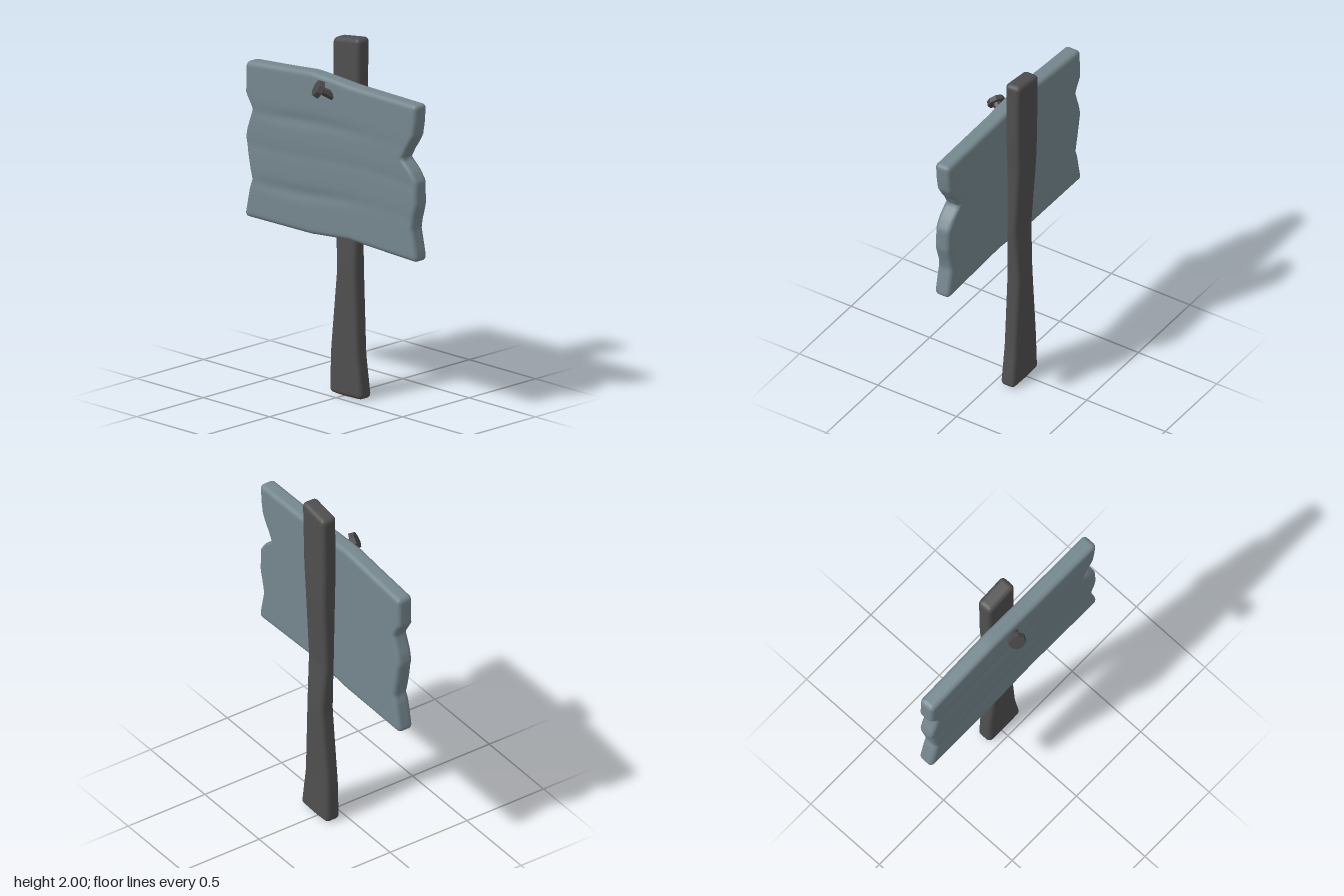
import * as THREE from 'three';

// Piecewise-linear lookup in rows [key, value, value...]
function sample(rows, key, col = 1) {
  let i = 0;
  while (i < rows.length - 2 && key > rows[i + 1][0]) i++;
  const [a, b] = [rows[i], rows[i + 1]];
  const f = THREE.MathUtils.clamp((key - a[0]) / (b[0] - a[0]), 0, 1);
  return a[col] + (b[col] - a[col]) * f;
}

// Upright slab with rounded edges, lofted from rounded-rectangle rings.
// profile rows: [t, left, right, front, back]; bottom/top rows: [x, y]
function slab({ profile, bottom, top, height, radius, rows, columns, ripple }) {
  const steps = [];
  for (let k = 0; k <= 4; k++) {
    const a = (k / 4) * Math.PI / 2;
    steps.push([radius * (1 - Math.cos(a)), radius * (1 - Math.sin(a))]);
  }
  const ends = steps.slice().reverse().map(([v, inset]) => [height - v, inset]);
  for (let i = 1; i < rows; i++) steps.push([radius + (height - 2 * radius) * i / rows, 0]);
  steps.push(...ends);

  const positions = [], index = [];
  let half = 0;
  for (const [v, inset] of steps) {
    const t = v / height;
    const [left, right, front, back] = [1, 2, 3, 4].map(c => sample(profile, t, c));
    const l = left + inset, r = right - inset;
    const mid = (front + back) / 2, depth = (front - back) / 2 - inset;
    const c = Math.max(radius - inset, radius * 0.25);
    // front half of the ring, left to right, as [x, distance from mid plane]
    const line = [];
    for (let k = 0; k < 4; k++) {
      const a = (k / 4) * Math.PI / 2;
      line.push([l + c - c * Math.cos(a), depth - c + c * Math.sin(a)]);
    }
    for (let k = 0; k <= columns; k++) line.push([l + c + (r - l - 2 * c) * k / columns, depth]);
    for (let k = 3; k >= 0; k--) line.push([l + r - line[k][0], line[k][1]]);
    half = line.length;
    const put = (x, z) => {
      const y = THREE.MathUtils.lerp(sample(bottom, x), sample(top, x), t);
      positions.push(x, y, z + (ripple ? ripple(x, t, z) : 0));
    };
    line.forEach(([x, d]) => put(x, mid + d));
    line.reverse().forEach(([x, d]) => put(x, mid - d));
  }
  const n = half * 2, last = (steps.length - 1) * n;
  for (let i = 0; i < steps.length - 1; i++) {
    for (let j = 0; j < n; j++) {
      const a = i * n + j, b = i * n + (j + 1) % n;
      index.push(a, b, b + n, a, b + n, a + n);
    }
  }
  // end caps, front line stitched to back line
  for (let j = 0; j < half - 1; j++) {
    const k = n - 1 - j;
    index.push(j, k - 1, j + 1, j, k, k - 1);
    index.push(last + j, last + j + 1, last + k - 1, last + j, last + k - 1, last + k);
  }
  const g = new THREE.BufferGeometry();
  g.setAttribute('position', new THREE.Float32BufferAttribute(positions, 3));
  g.setIndex(index);
  g.computeVertexNormals();
  return g;
}

export function createModel() {
  const group = new THREE.Group();
  const add = (name, geometry, material, parent = group) => {
    const mesh = new THREE.Mesh(geometry, material);
    mesh.name = name;
    parent.add(mesh);
    return mesh;
  };
  const postMaterial = new THREE.MeshStandardMaterial({ color: 0x4f4f4f });
  const boardMaterial = new THREE.MeshStandardMaterial({ color: 0x75878e });
  const nailMaterial = new THREE.MeshStandardMaterial({ color: 0x484848, flatShading: true });

  // Crooked post, flared at the foot
  add('post', slab({
    profile: [
      [0, -0.1, 0.145, -0.04, -0.13],
      [0.12, -0.095, 0.115, -0.042, -0.126],
      [0.35, -0.052, 0.092, -0.045, -0.132],
      [0.42, -0.058, 0.096, -0.047, -0.125],
      [0.5, -0.068, 0.102, -0.05, -0.115],
      [0.72, -0.08, 0.1, -0.05, -0.138],
      [0.8, -0.085, 0.11, -0.05, -0.14],
      [1, -0.085, 0.115, -0.052, -0.145],
    ],
    bottom: [[-0.1, 0.005], [0, 0], [0.14, 0.005]],
    top: [[-0.085, 1.975], [0.09, 2], [0.115, 1.998]],
    height: 2, radius: 0.025, rows: 48, columns: 6,
  }), postMaterial);

  // Weathered board with notched ends and soft grain ripples
  const ripple = (x, t, z) => {
    if (z < 0) return 0;
    const groove = c => Math.exp(-(((t - c - 0.015 * Math.sin(4 * x)) / 0.04) ** 2));
    const strength = 0.6 + 0.4 * Math.cos(5 * x + 1);
    return -0.008 * strength * (groove(0.7) + groove(0.25)) - 0.003 * groove(0.48);
  };
  add('board', slab({
    profile: [
      [0, -0.65, 0.648, 0.048, -0.046],
      [0.06, -0.64, 0.64, 0.048, -0.046],
      [0.2, -0.615, 0.613, 0.048, -0.046],
      [0.25, -0.6, 0.62, 0.048, -0.046],
      [0.36, -0.62, 0.645, 0.048, -0.046],
      [0.51, -0.645, 0.643, 0.048, -0.046],
      [0.57, -0.635, 0.605, 0.048, -0.046],
      [0.635, -0.615, 0.54, 0.048, -0.046],
      [0.7, -0.598, 0.57, 0.048, -0.046],
      [0.74, -0.615, 0.595, 0.048, -0.046],
      [0.8, -0.645, 0.625, 0.048, -0.046],
      [0.88, -0.643, 0.637, 0.048, -0.046],
      [1, -0.64, 0.645, 0.048, -0.046],
    ],
    bottom: [[-0.65, 0.882], [-0.15, 0.886], [0, 0.9], [0.14, 0.912], [0.4, 0.902], [0.65, 0.893]],
    top: [[-0.65, 1.745], [-0.4, 1.765], [-0.15, 1.788], [0, 1.78], [0.15, 1.77], [0.65, 1.763]],
    height: 0.87, radius: 0.025, rows: 56, columns: 36, ripple,
  }), boardMaterial);

  // Bent nail sticking out of the board
  const nail = new THREE.Group();
  nail.name = 'nail';
  const axis = new THREE.Vector3(-0.045, 0.045, 0.07).normalize();
  nail.position.set(-0.035, 1.73, 0.1);
  nail.quaternion.setFromUnitVectors(new THREE.Vector3(0, 1, 0), axis);
  add('nailHead', new THREE.CylinderGeometry(0.046, 0.052, 0.028, 8), nailMaterial, nail);
  add('nailShaft', new THREE.CylinderGeometry(0.022, 0.026, 0.11, 8), nailMaterial, nail).position.y = -0.055;
  group.add(nail);

  return group;
}
